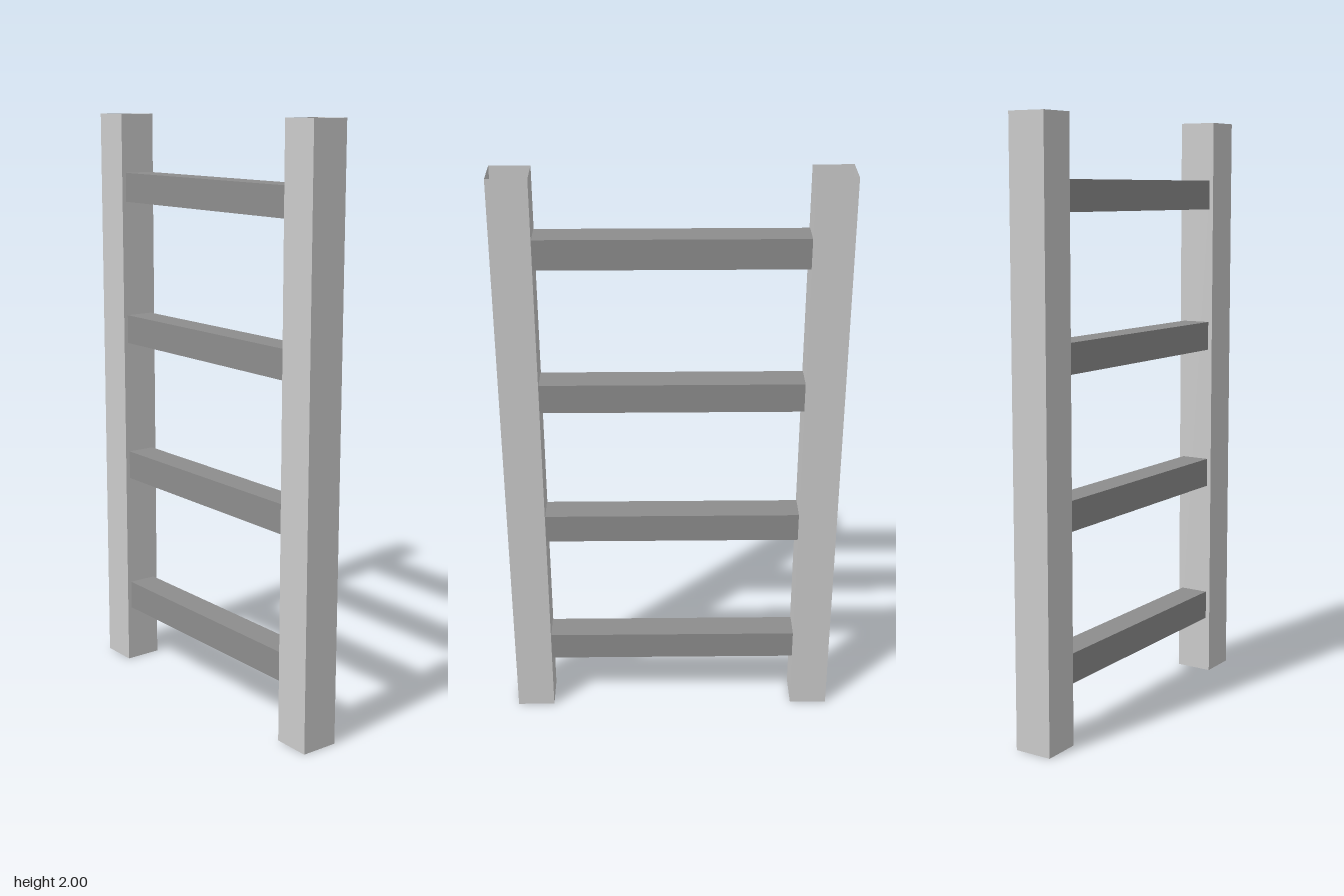
import * as THREE from 'three';

const HEIGHT = 2;
const RAIL_SIZE = 0.13;
const RAIL_X = 0.5;
const RUNG_SIZE = 0.1;
const RUNG_COUNT = 4;
const RUNG_STEP = 0.5;

export function createModel() {
  const ladder = new THREE.Group();
  ladder.name = 'ladder';

  const railMaterial = new THREE.MeshStandardMaterial({
    color: 0xcccccc, flatShading: true, side: THREE.DoubleSide,
  });
  const rungMaterial = new THREE.MeshStandardMaterial({ color: 0x8d8d8d });

  // Rails: thin square tubes, open at both ends
  const railGeometry = new THREE.CylinderGeometry(
    RAIL_SIZE / Math.SQRT2, RAIL_SIZE / Math.SQRT2, HEIGHT, 4, 1, true);
  railGeometry.rotateY(Math.PI / 4);
  for (const side of [-1, 1]) {
    const rail = new THREE.Mesh(railGeometry, railMaterial);
    rail.name = side > 0 ? 'leftRail' : 'rightRail';
    rail.position.set(side * RAIL_X, HEIGHT / 2, 0);
    ladder.add(rail);
  }

  // Rungs: square bars that run to the centre line of each rail
  const rungGeometry = new THREE.BoxGeometry(2 * RAIL_X, RUNG_SIZE, RUNG_SIZE);
  for (let i = 0; i < RUNG_COUNT; i++) {
    const rung = new THREE.Mesh(rungGeometry, rungMaterial);
    rung.name = `rung${i + 1}`;
    rung.position.y = (i + 0.5) * RUNG_STEP;
    ladder.add(rung);
  }

  return ladder;
}
